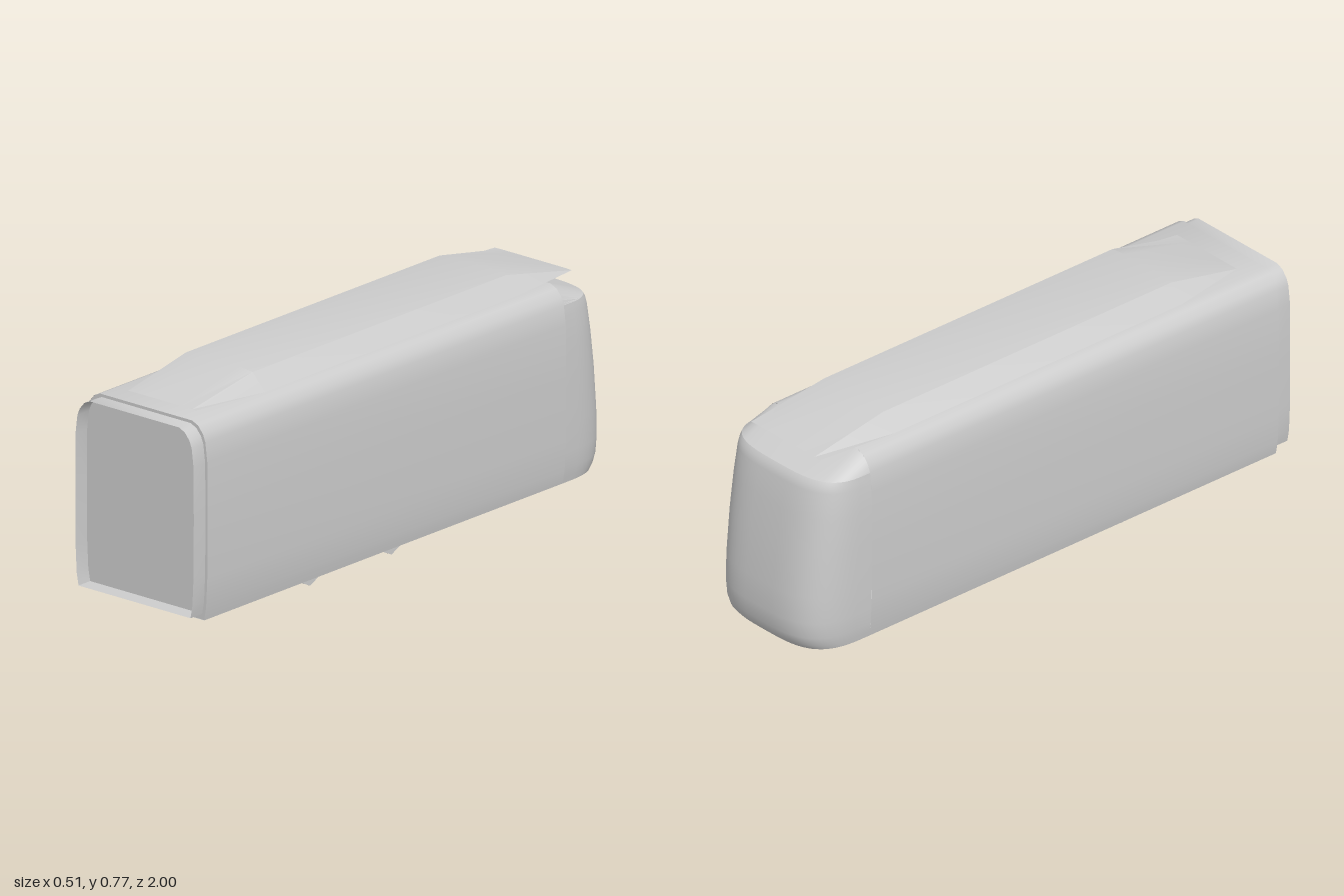
import * as THREE from 'three';
import { toCreasedNormals } from 'three/addons/utils/BufferGeometryUtils.js';

// Skin a list of rings (each a list of [x, y, z]) that share one point count
function loft(rings, closed = false, crease = 0.6) {
  const n = rings[0].length, index = [];
  for (let r = 0; r < rings.length - 1; r++) {
    for (let i = 0; i < (closed ? n : n - 1); i++) {
      const a = r * n + i, b = r * n + (i + 1) % n;
      index.push(a, b, a + n, b, b + n, a + n);
    }
  }
  const geo = new THREE.BufferGeometry();
  geo.setAttribute('position', new THREE.Float32BufferAttribute(rings.flat(2), 3));
  geo.setIndex(index);
  return toCreasedNormals(geo, crease);
}

// Right half of the body cross-section, from floor to roof
const half = [[0.24, 0.056], [0.248, 0.1], [0.253, 0.2], [0.254, 0.4], [0.253, 0.58],
  [0.245, 0.645], [0.235, 0.67], [0.215, 0.694], [0.19, 0.705]];
const section = [...half, ...half.slice().reverse().map(([x, y]) => [-x, y])];

// Value from a table of [key, value] rows with ascending keys
function lookup(rows, k) {
  if (k <= rows[0][0]) return rows[0][1];
  for (let i = 1; i < rows.length; i++) {
    const [k0, v0] = rows[i - 1], [k1, v1] = rows[i];
    if (k <= k1) return v0 + (v1 - v0) * (k - k0) / (k1 - k0);
  }
  return rows[rows.length - 1][1];
}

export function createModel() {
  const group = new THREE.Group();
  const grey = new THREE.MeshStandardMaterial({ color: 0xcccccc, side: THREE.DoubleSide });
  grey.name = 'body grey';
  const add = (name, geo) => {
    const mesh = new THREE.Mesh(geo, grey);
    mesh.name = name;
    group.add(mesh);
    return mesh;
  };

  // Long body shell
  const joint = -0.75, front = 0.945;
  const bodyRing = z => section.map(([x, y]) => [x, y, z]);
  add('bodyShell', loft([bodyRing(front), bodyRing(joint)], true));

  // Gangway: recessed end wall inside an open sleeve
  const wall = new THREE.Shape(section.map(([x, y]) => new THREE.Vector2(x, y)));
  add('endWall', new THREE.ShapeGeometry(wall)).position.z = front - 0.002;
  const sleeveRing = z => section.map(([x, y]) => [x * 0.965, 0.076 + (y - 0.056) * 0.954, z]);
  add('gangwaySleeve', loft([sleeveRing(front), sleeveRing(1)], true));

  // Cab: U-shaped outlines stacked by height, [y, z of the nose]
  const levels = [[0.056, -0.968], [0.075, -0.985], [0.105, -0.995], [0.16, -1], [0.25, -0.994],
    [0.4, -0.977], [0.52, -0.957], [0.61, -0.94], [0.632, -0.933], [0.645, -0.922]];
  const widths = half.map(([x, y]) => [y, x]);
  const steps = 32, power = 2 / 3.3;
  const outline = ([y, nose]) => {
    const w = lookup(widths, y), ring = [];
    for (let i = 0; i <= steps; i++) {
      const a = Math.PI * i / steps, c = Math.cos(a);
      ring.push([w * Math.sign(c) * Math.abs(c) ** power, y,
        joint + (nose - joint) * Math.max(0, Math.sin(a)) ** power]);
    }
    return ring;
  };
  const rings = levels.map(outline);
  add('cabNose', loft(rings, false, 0.7));
  add('cabFloor', loft([rings[0], rings[0].map(([x, y]) => [x, y, joint])]));

  // Sloping cab roof from the top of the nose up to the body's arch
  const arch = half.slice(5).reverse();
  const brow = rings[rings.length - 1];
  add('cabRoof', loft([brow, brow.map(([x]) => [x, lookup(arch, Math.abs(x)), joint])]));

  // Roof fairing, tapering to a thin lip at both ends
  const fairingRing = (z, foot, shoulder, crown, rise) => {
    const r = [[foot, 0.706, z], [shoulder, 0.706 + rise * 0.9, z], [crown, 0.706 + rise, z]];
    return [...r, ...r.slice().reverse().map(([x, y]) => [-x, y, z])];
  };
  add('roofFairing', loft([
    fairingRing(0.87, 0.14, 0.125, 0.08, 0.001),
    fairingRing(0.6, 0.19, 0.138, 0.08, 0.061),
    fairingRing(-0.6, 0.19, 0.138, 0.08, 0.061),
    fairingRing(-0.885, 0.16, 0.135, 0.08, 0.001),
  ], false, 0.7));

  // Four faceted wheel segments below the floor
  const rim = [[-0.06, 0.06], [-0.046, 0.022], [0, 0], [0.046, 0.022], [0.06, 0.06]];
  const wheelShape = new THREE.Shape(rim.map(([a, y]) => new THREE.Vector2(a, y)));
  const wheelGeo = new THREE.ExtrudeGeometry(wheelShape, { depth: 0.02, bevelEnabled: false });
  wheelGeo.translate(0, 0, -0.01).rotateY(Math.PI / 2);
  for (const x of [-0.161, 0.161]) {
    for (const z of [0.365, -0.02]) add('wheel', wheelGeo).position.set(x, 0, z);
  }
  return group;
}
